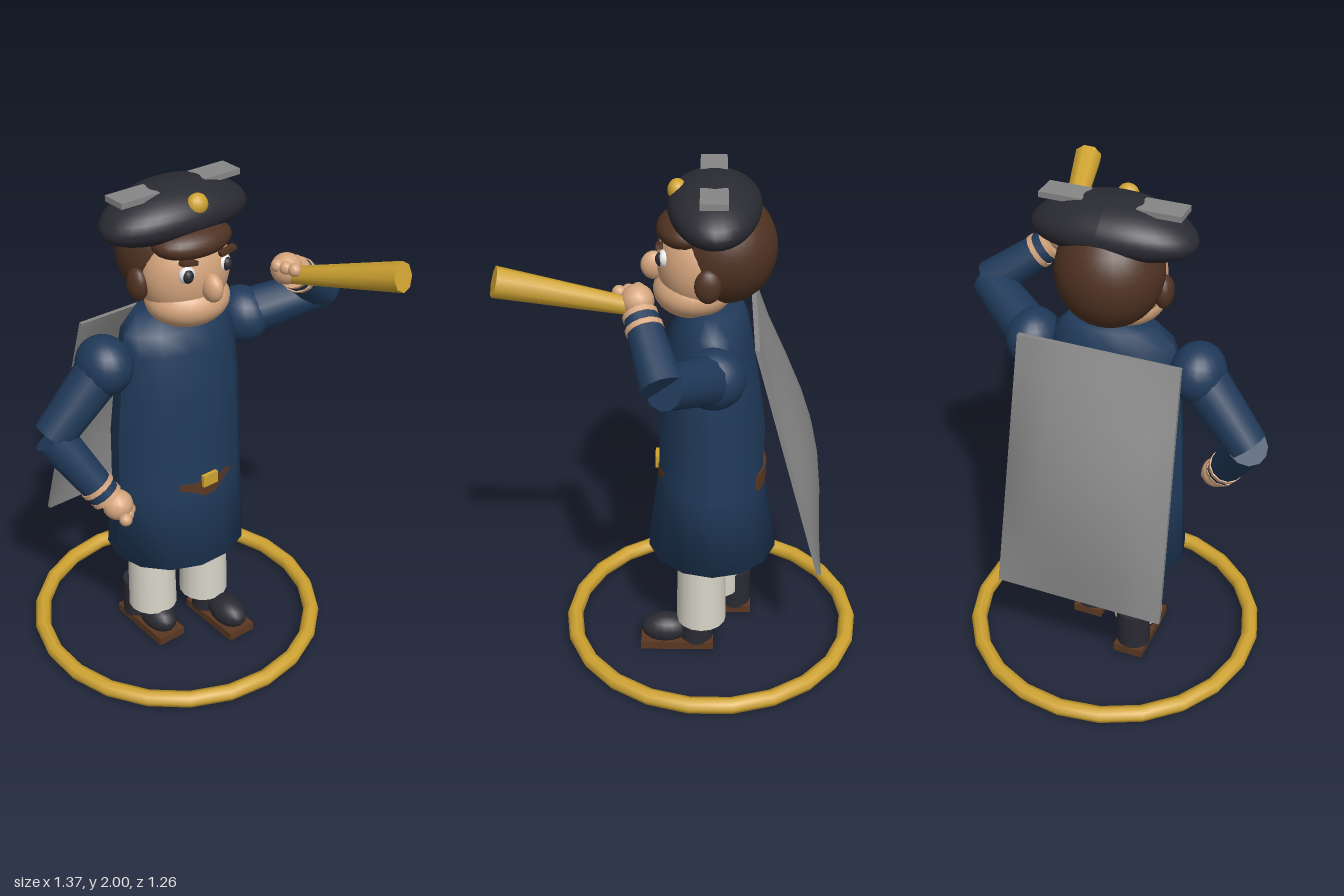
import * as THREE from 'three';

const mat = (name, color) => Object.assign(new THREE.MeshStandardMaterial({ color }), { name });

export function createModel() {
  const navy = mat('navy cloth', 0x203a5a), dark = mat('black felt', 0x2a2a32);
  const gold = mat('brass', 0xd0a432), skin = mat('skin', 0xd6a67e);
  const hair = mat('brown hair', 0x4f3222), leather = mat('brown leather', 0x5a3822);
  const linen = mat('cream linen', 0xd8d4c8), grey = mat('grey cape', 0x868686);
  const white = mat('eye white', 0xf0f0f0);

  const model = new THREE.Group();
  model.name = 'lookoutFigure';
  const V = (x, y, z) => new THREE.Vector3(x, y, z);
  const add = (name, geo, m, pos = [0, 0, 0], parent = model) => {
    const mesh = new THREE.Mesh(geo, m);
    mesh.name = name;
    mesh.position.set(...pos);
    parent.add(mesh);
    return mesh;
  };
  const ball = (name, m, pos, r, seg = 20) => {
    const s = add(name, new THREE.SphereGeometry(1, seg, Math.round(seg * 0.7)), m, pos);
    s.scale.set(...r);
    return s;
  };
  const box = (name, m, pos, size) => add(name, new THREE.BoxGeometry(...size), m, pos);
  // tapered cylinder between two points
  const rod = (name, m, a, b, ra, rb, seg = 12) => {
    const dir = b.clone().sub(a);
    const c = add(name, new THREE.CylinderGeometry(rb, ra, dir.length(), seg), m, a.clone().add(b).multiplyScalar(0.5).toArray());
    c.quaternion.setFromUnitVectors(V(0, 1, 0), dir.normalize());
    return c;
  };

  // base ring
  add('baseRing', new THREE.TorusGeometry(0.58, 0.033, 8, 22).rotateX(Math.PI / 2), gold, [-0.07, 0.042, 0]);

  // feet and legs: z side, toe position, trouser centre at top and hem
  for (const [side, z, toe, top, hem] of [['left', 0.125, 0.06, -0.1, -0.09], ['right', -0.125, 0.22, -0.03, -0.03]]) {
    box(side + 'Sole', leather, [toe - 0.15, 0.02, z], [0.3, 0.035, 0.125]);
    ball(side + 'ShoeToe', dark, [toe - 0.1, 0.075, z], [0.1, 0.062, 0.065], 16);
    rod(side + 'BootShaft', dark, V(toe - 0.23, 0.03, z), V(toe - 0.23, 0.2, z), 0.07, 0.07);
    rod(side + 'TrouserLeg', linen, V(hem, 0.12, z * 0.9), V(top, 0.55, z * 0.9), 0.102, 0.095, 16);
  }

  // coat: oval rings given as y, back x, front x, half width
  const rings = [[0.45, -0.335, 0.19, 0.295], [0.78, -0.275, 0.145, 0.283], [1.0, -0.28, 0.14, 0.277],
    [1.2, -0.25, 0.125, 0.265], [1.38, -0.22, 0.1, 0.25], [1.45, -0.205, 0.06, 0.235], [1.51, -0.18, 0.02, 0.175]];
  const coat = new THREE.LatheGeometry([new THREE.Vector2(0.001, 0), ...rings.map((r, i) => new THREE.Vector2(1, i + 1)),
    new THREE.Vector2(0.001, rings.length + 1)], 14);
  const p = coat.attributes.position;
  for (let i = 0; i < p.count; i++) {
    const k = THREE.MathUtils.clamp(Math.round(p.getY(i)) - 1, 0, rings.length - 1);
    const [y, back, front, w] = rings[k];
    p.setXYZ(i, (back + front) / 2 + p.getX(i) * (front - back) / 2, y, p.getZ(i) * w);
  }
  coat.computeVertexNormals();
  add('coat', coat, navy);

  // belt and buckle
  const belt = add('belt', new THREE.CylinderGeometry(1, 1, 0.07, 24), leather, [-0.07, 0.79, 0]);
  belt.scale.set(0.217, 1, 0.245);
  box('buckle', gold, [0.135, 0.825, 0], [0.04, 0.05, 0.07]);

  // cape: thin slab leaning back, bulged in the middle
  const cape = new THREE.BoxGeometry(0.018, 1, 1, 1, 8, 8);
  const c = cape.attributes.position;
  for (let i = 0; i < c.count; i++) {
    const v = c.getY(i) + 0.5, u = c.getZ(i) + 0.5;
    const bulge = 0.095 * Math.sin(Math.PI * v) * Math.pow(Math.sin(Math.PI * u), 0.6);
    c.setXYZ(i, c.getX(i) - 0.49 + 0.262 * v - (bulge || 0), 0.485 + 0.975 * v,
      THREE.MathUtils.lerp(-0.317, 0.355 - 0.035 * v, u));
  }
  cape.computeVertexNormals();
  add('cape', cape, grey);

  // arms: shoulder, elbow, wrist, hand
  const arms = [['left', V(-0.07, 1.355, 0.33), V(-0.11, 1.11, 0.545), V(0.025, 0.865, 0.415), V(0.06, 0.82, 0.38)],
    ['right', V(-0.07, 1.355, -0.33), V(0.1, 1.455, -0.59), V(0.18, 1.615, -0.375), V(0.195, 1.655, -0.315)]];
  for (const [side, s, e, w, h] of arms) {
    ball(side + 'Shoulder', navy, s.toArray(), [0.12, 0.115, 0.105]);
    rod(side + 'UpperArm', navy, s, e, 0.095, 0.078);
    rod(side + 'Forearm', navy, e, w, 0.08, 0.062);
    const dir = w.clone().sub(e).normalize();
    const along = d => w.clone().addScaledVector(dir, d);
    rod(side + 'CuffBandInner', skin, along(-0.055), along(-0.035), 0.069, 0.069, 14);
    rod(side + 'CuffBandOuter', skin, along(-0.002), along(0.018), 0.064, 0.064, 14);
    ball(side + 'Hand', skin, h.toArray(), [0.06, 0.06, 0.06], 14);
    // curled fingers
    const across = V(0, 1, 0).cross(dir).normalize();
    for (let i = -1; i <= 1; i++) {
      const f = h.clone().addScaledVector(dir, 0.04).addScaledVector(across, i * 0.035).add(V(0.02, 0, 0));
      ball(side + 'Finger', skin, f.toArray(), [0.026, 0.026, 0.026], 10);
    }
  }

  // telescope
  rod('telescope', gold, V(0.2, 1.63, -0.315), V(0.672, 1.77, -0.42), 0.032, 0.056, 8);

  // head
  ball('face', skin, [-0.02, 1.68, 0], [0.16, 0.2, 0.18], 28);
  ball('jaw', skin, [0.005, 1.565, 0], [0.15, 0.1, 0.165], 24);
  ball('hair', hair, [-0.11, 1.73, 0], [0.195, 0.21, 0.2], 28);
  ball('fringe', hair, [0.03, 1.805, 0], [0.11, 0.065, 0.165], 24);
  ball('nose', skin, [0.15, 1.655, 0], [0.05, 0.055, 0.035], 16);
  for (const s of [1, -1]) {
    const side = s > 0 ? 'left' : 'right';
    ball(side + 'Sideburn', hair, [-0.05, 1.65, s * 0.185], [0.05, 0.065, 0.035], 14);
    ball(side + 'EyeWhite', white, [0.108, 1.715, s * 0.082], [0.026, 0.034, 0.034], 14);
    ball(side + 'Pupil', dark, [0.122, 1.715, s * 0.088], [0.02, 0.026, 0.022], 12);
    const brow = box(side + 'Eyebrow', hair, [0.125, 1.768, s * 0.088], [0.025, 0.016, 0.07]);
    brow.rotation.x = -s * 0.2;
  }

  // wide hat with drooping ends
  const hatGeo = new THREE.SphereGeometry(1, 32, 20);
  const hp = hatGeo.attributes.position;
  for (let i = 0; i < hp.count; i++) {
    const z = hp.getZ(i);
    hp.setXYZ(i, hp.getX(i) * 0.172, hp.getY(i) * 0.105 - 0.03 * z * z, z * 0.312);
  }
  hatGeo.computeVertexNormals();
  add('hat', hatGeo, dark, [-0.072, 1.895, 0]);
  for (const s of [1, -1]) box('hatStrip', grey, [-0.07, 1.978, s * 0.183], [0.1, 0.022, 0.165]);
  ball('hatButton', gold, [0.062, 1.945, 0], [0.036, 0.042, 0.042], 14);

  return model;
}
